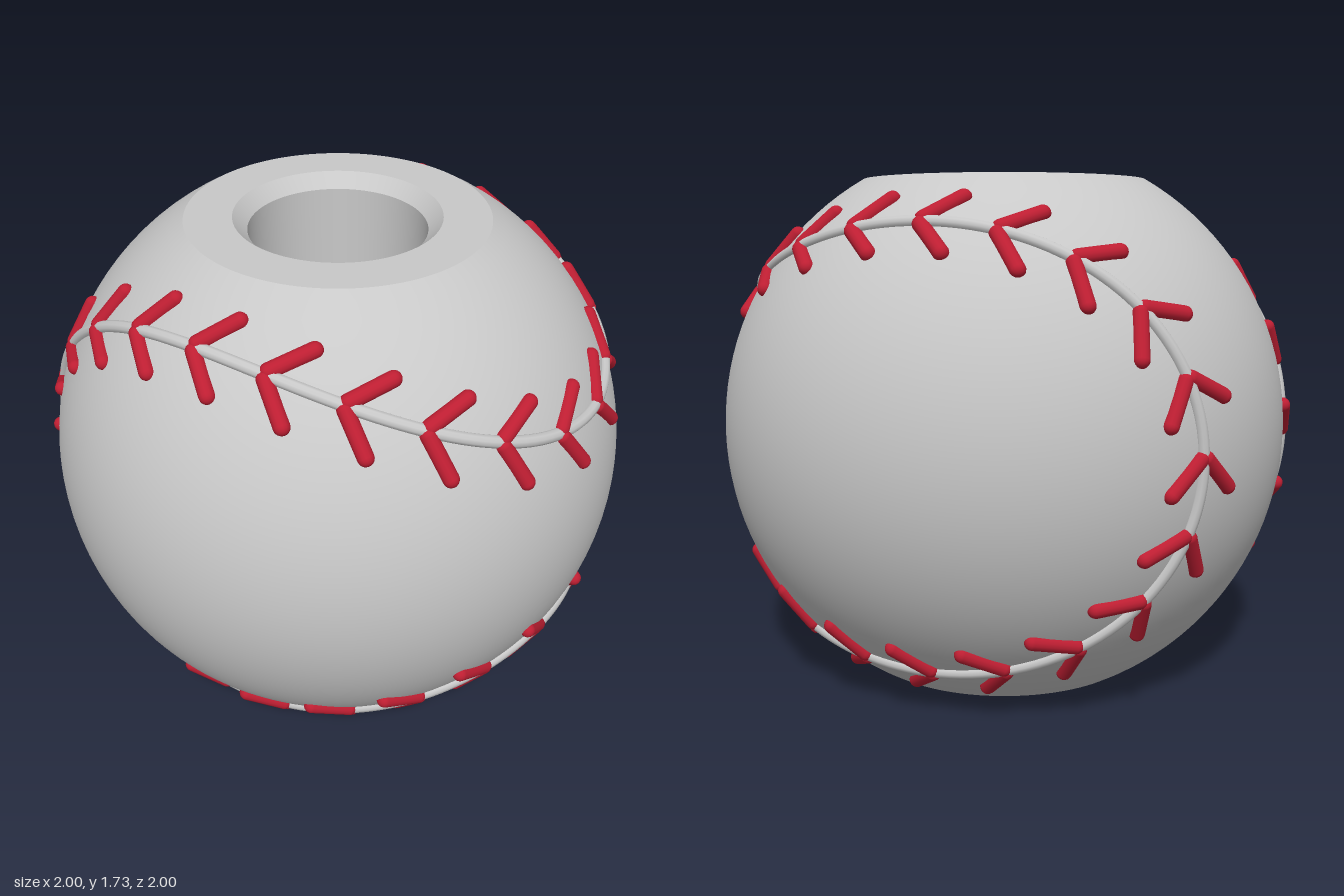
import * as THREE from 'three';
import { mergeGeometries, toCreasedNormals } from 'three/addons/utils/BufferGeometryUtils.js';

const CUT = Math.sqrt(3) / 2; // height of the flat cuts above and below the centre
const HOLE = 0.295;
const CHAMFER = 0.047;
const STITCHES = 44;

// Closed seam lying on the unit sphere
class SeamCurve extends THREE.Curve {
  getPoint(u, target = new THREE.Vector3()) {
    const t = u * Math.PI * 2, a = 0.7, b = 0.3;
    return target.set(
      2 * Math.sqrt(a * b) * Math.cos(2 * t),
      a * Math.cos(t) - b * Math.cos(3 * t),
      a * Math.sin(t) + b * Math.sin(3 * t)
    );
  }
}

// Truncated ball with a chamfered through hole
function bodyGeometry() {
  const profile = [];
  for (let i = 0; i <= 40; i++) {
    const a = THREE.MathUtils.degToRad(-60 + 3 * i);
    profile.push(new THREE.Vector2(Math.cos(a), Math.sin(a)));
  }
  profile.push(
    new THREE.Vector2(HOLE + CHAMFER, CUT),
    new THREE.Vector2(HOLE, CUT - CHAMFER),
    new THREE.Vector2(HOLE, -CUT + CHAMFER),
    new THREE.Vector2(HOLE + CHAMFER, -CUT),
    profile[0].clone()
  );
  return toCreasedNormals(new THREE.LatheGeometry(profile, 128), 0.3);
}

// Rounded rod between two points
function rod(from, to, radius) {
  const dir = to.clone().sub(from);
  const geometry = new THREE.CapsuleGeometry(radius, dir.length(), 5, 14);
  const turn = new THREE.Quaternion().setFromUnitVectors(new THREE.Vector3(0, 1, 0), dir.normalize());
  geometry.applyQuaternion(turn);
  const mid = from.clone().add(to).multiplyScalar(0.5);
  return geometry.translate(mid.x, mid.y, mid.z);
}

// V-shaped stitches, evenly spaced and pointing along the seam
function stitchGeometry(seam) {
  const rods = [];
  for (let i = 0; i < STITCHES; i++) {
    const normal = seam.getPointAt(i / STITCHES).normalize();
    const along = seam.getTangentAt(i / STITCHES);
    const across = new THREE.Vector3().crossVectors(normal, along).normalize();
    const place = (forward, side) => normal.clone()
      .addScaledVector(along, forward).addScaledVector(across, side).normalize();
    for (const side of [-1, 1]) {
      rods.push(rod(place(0.01, side * 0.012), place(-0.09, side * 0.12), 0.026));
    }
  }
  return mergeGeometries(rods);
}

export function createModel() {
  const grey = new THREE.MeshStandardMaterial({ color: 0xc8c8c8 });
  grey.name = 'light grey';
  const red = new THREE.MeshStandardMaterial({ color: 0xbe1e32 });
  red.name = 'red';

  const seam = new SeamCurve();
  seam.arcLengthDivisions = 1000;

  const model = new THREE.Group();
  model.name = 'stitchedBall';
  const add = (name, geometry, material) => {
    const mesh = new THREE.Mesh(geometry, material);
    mesh.name = name;
    mesh.position.y = CUT;
    model.add(mesh);
  };
  add('body', bodyGeometry(), grey);
  add('seam', new THREE.TubeGeometry(seam, 300, 0.02, 10, true), grey);
  add('stitches', stitchGeometry(seam), red);
  return model;
}
